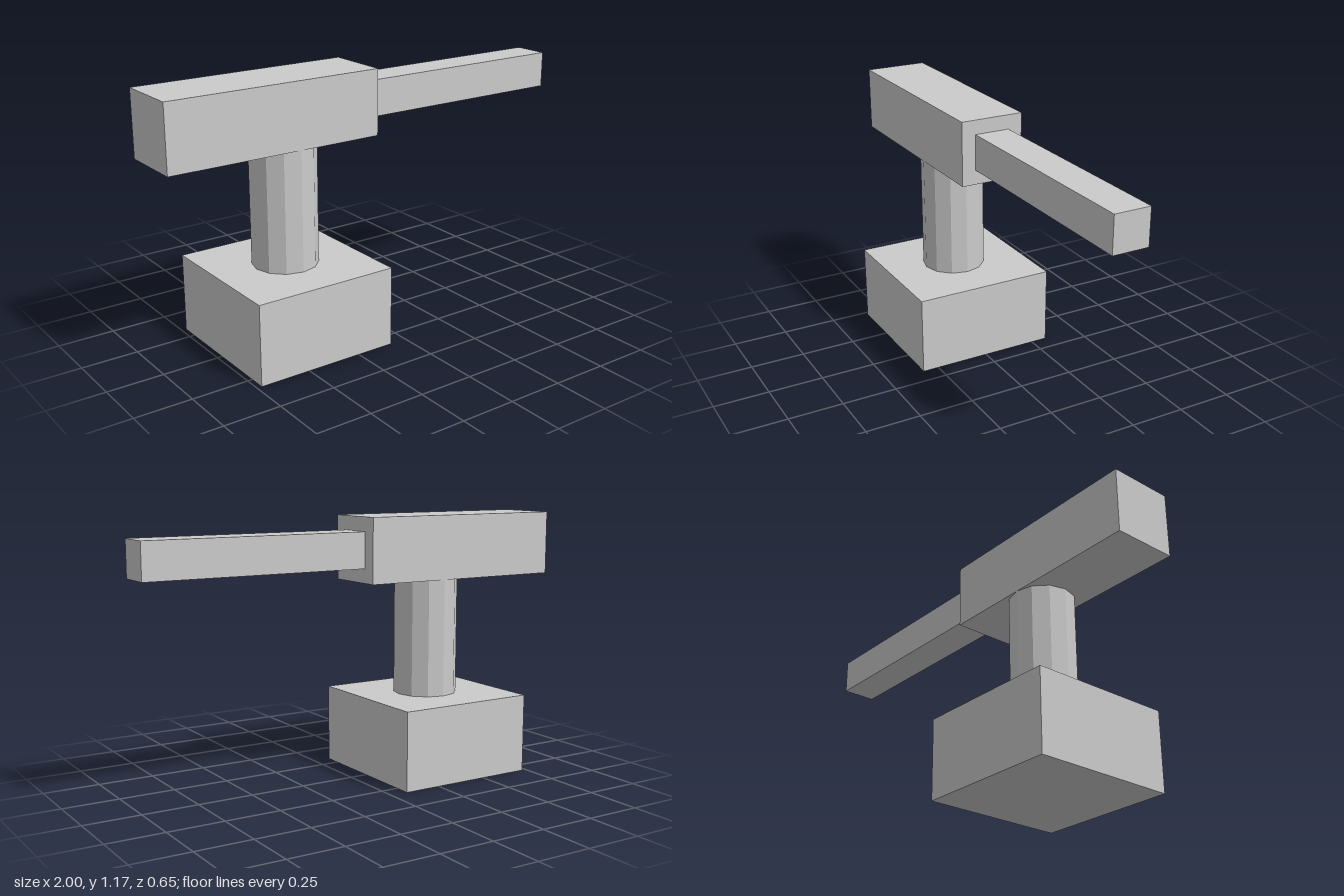
import * as THREE from 'three';

export function createModel() {
  const model = new THREE.Group();
  const material = new THREE.MeshStandardMaterial({ color: 0xcccccc, flatShading: true });

  const add = (name, geometry, x, y) => {
    const mesh = new THREE.Mesh(geometry, material);
    mesh.name = name;
    mesh.position.set(x, y, 0);
    model.add(mesh);
  };

  const axisX = -0.404; // shared vertical axis of base and column
  const baseHeight = 0.355;
  const headBottom = 0.885;
  const headSize = 0.288;
  const headY = headBottom + headSize / 2;
  const columnHeight = headBottom - baseHeight;

  // Square base block
  add('base', new THREE.BoxGeometry(0.65, baseHeight, 0.65), axisX, baseHeight / 2);

  // Twelve-sided column
  add('column', new THREE.CylinderGeometry(0.144, 0.144, columnHeight, 12), axisX, baseHeight + columnHeight / 2);

  // Horizontal head with a thinner barrel extending towards +x
  add('head', new THREE.BoxGeometry(0.98, headSize, headSize), -0.51, headY);
  add('barrel', new THREE.BoxGeometry(1.02, 0.16, 0.16), 0.49, headY);

  return model;
}
